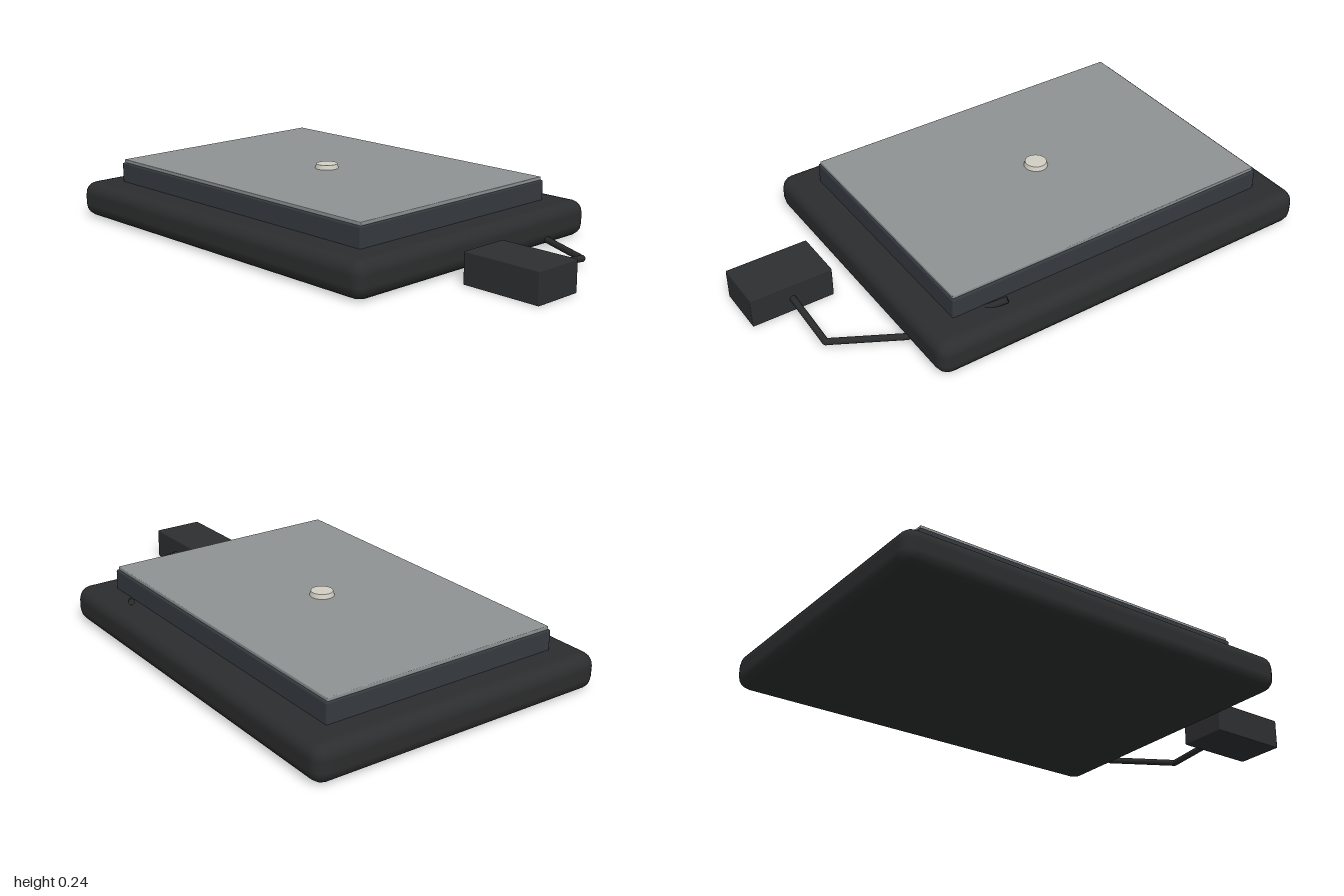
import * as THREE from 'three';
import { RoundedBoxGeometry } from 'three/addons/geometries/RoundedBoxGeometry.js';

export function createModel() {
  const model = new THREE.Group();
  const add = (name, geometry, color, x, y, z) => {
    const mesh = new THREE.Mesh(geometry, new THREE.MeshStandardMaterial({ color }));
    mesh.name = name;
    mesh.position.set(x, y, z);
    model.add(mesh);
    return mesh;
  };
  const cx = -0.203; // middle of the stacked slabs

  // Stacked slabs: rounded base, raised bed, thin top plate
  add('base', new RoundedBoxGeometry(1.594, 0.138, 1.2, 2, 0.05), 0x2c2d2e, cx, 0.071, 0);
  add('bed', new RoundedBoxGeometry(1.356, 0.085, 0.96, 1, 0.006), 0x363a40, cx, 0.1735, 0);
  add('topPlate', new RoundedBoxGeometry(1.344, 0.014, 0.944, 1, 0.003), 0x8f9393, cx, 0.222, 0);

  // Button in the middle of the plate, slightly tapered
  add('button', new THREE.CylinderGeometry(0.041, 0.046, 0.018, 32), 0xd2cec4, cx, 0.237, 0);

  // Separate power box beside the base
  add('powerBox', new RoundedBoxGeometry(0.32, 0.118, 0.2, 1, 0.004), 0x2e2f31, 0.84, 0.061, 0.1);

  // Cable with sharp bends, passing through the base and out at the back
  const points = [
    [0.84, 0.06, 0.01], [0.84, 0.036, -0.24], [0.59, 0.028, -0.365], [0.28, 0.16, -0.522],
  ].map((p) => new THREE.Vector3(...p));
  const up = new THREE.Vector3(0, 1, 0);
  const radius = 0.0125;
  for (let i = 0; i < points.length - 1; i++) {
    const dir = points[i + 1].clone().sub(points[i]);
    const mid = points[i].clone().addScaledVector(dir, 0.5);
    const run = add('cableRun', new THREE.CylinderGeometry(radius, radius, dir.length(), 10),
      0x2a2b2c, mid.x, mid.y, mid.z);
    run.quaternion.setFromUnitVectors(up, dir.normalize());
    // Ball joint closing the bend
    if (i > 0) add('cableBend', new THREE.SphereGeometry(radius, 10, 8), 0x2a2b2c, ...points[i].toArray());
  }
  return model;
}
